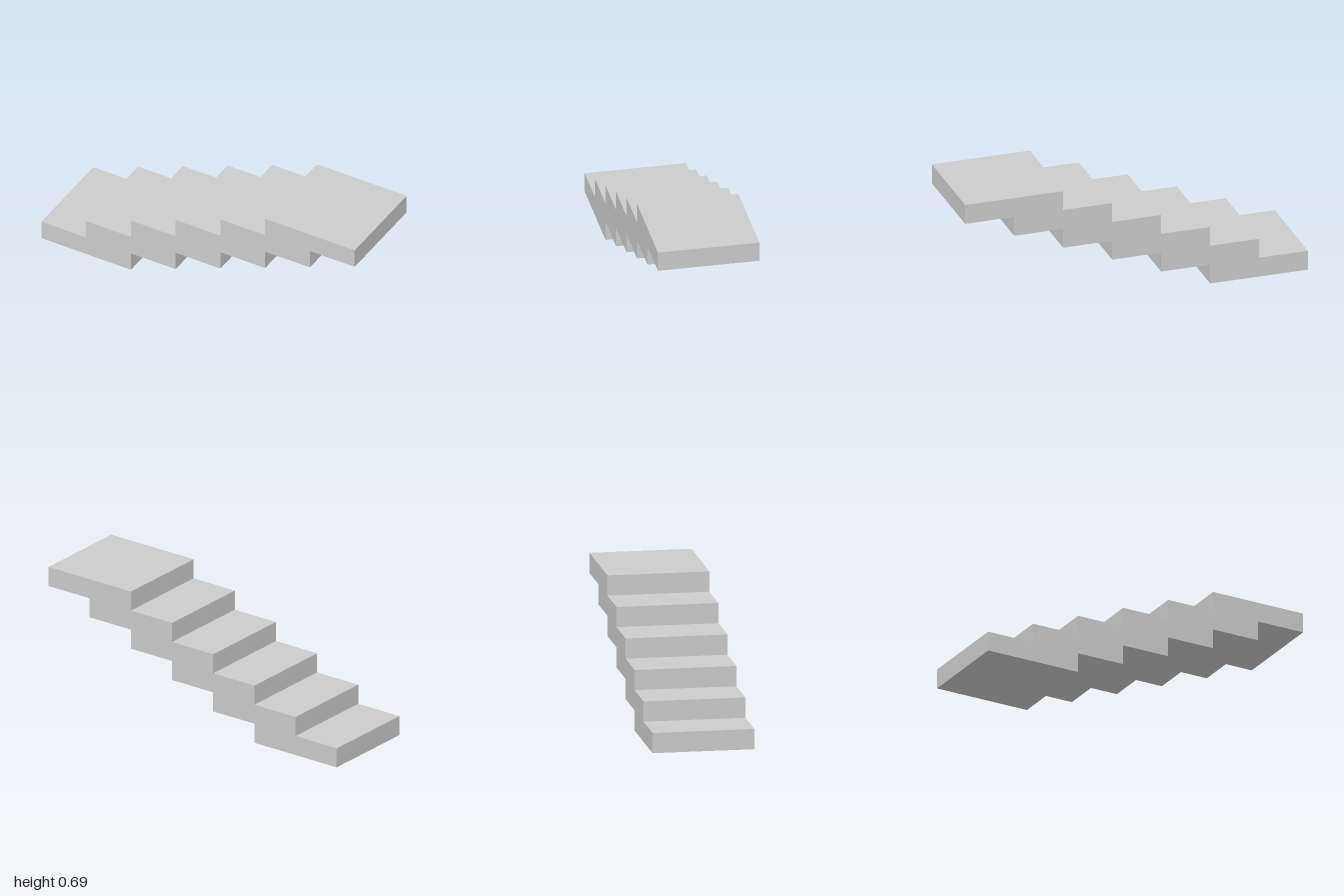
import * as THREE from 'three';

const STEPS = 6;
const TREAD = 2 / 7;      // visible run of each step
const RISE = 0.8 / 7;     // height of each step
const WIDTH = 4 / 7;      // width of the flight along z

// Stepped outline: up the underside, then back down the treads
function stairProfile() {
  const points = [];
  for (let i = 0; i < STEPS; i++) {
    const x = -1 + (i + 2) * TREAD;
    points.push(new THREE.Vector2(x, i * RISE), new THREE.Vector2(x, (i + 1) * RISE));
  }
  for (let i = STEPS - 1; i >= 0; i--) {
    const x = -1 + i * TREAD;
    points.push(new THREE.Vector2(x, (i + 1) * RISE), new THREE.Vector2(x, i * RISE));
  }
  return new THREE.Shape(points);
}

export function createModel() {
  const model = new THREE.Group();
  model.name = 'staircase';

  // One solid flight of overlapping steps, centred on z
  const geometry = new THREE.ExtrudeGeometry(stairProfile(), { depth: WIDTH, bevelEnabled: false });
  geometry.translate(0, 0, -WIDTH / 2);
  const material = new THREE.MeshStandardMaterial({ color: 0xcccccc, flatShading: true });
  const flight = new THREE.Mesh(geometry, material);
  flight.name = 'stairFlight';
  model.add(flight);

  return model;
}
